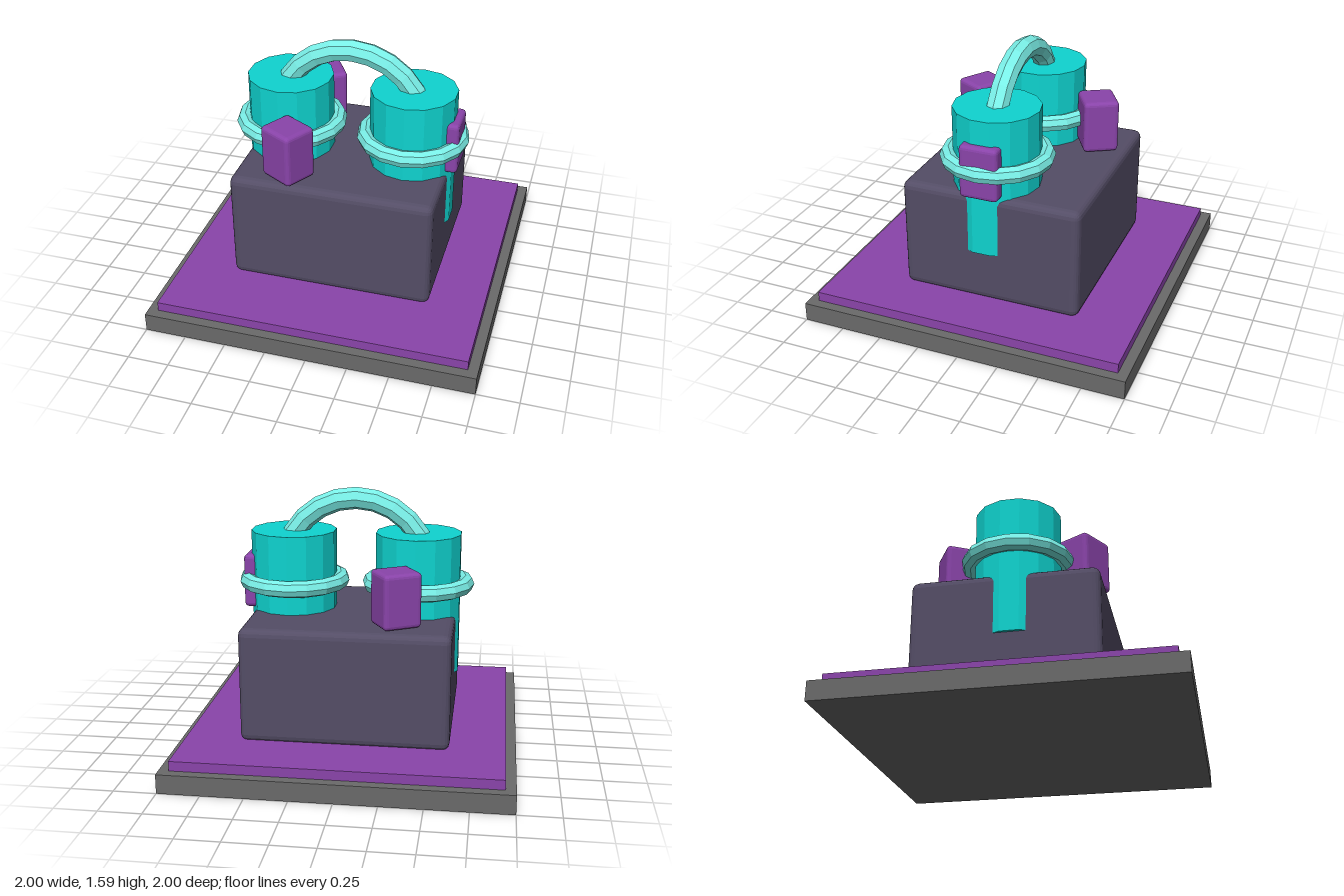
import * as THREE from 'three';
import { RoundedBoxGeometry } from 'three/addons/geometries/RoundedBoxGeometry.js';

const material = (color) => new THREE.MeshStandardMaterial({ color, flatShading: true });

export function createModel() {
  const model = new THREE.Group();
  const grey = material(0x6a6a6a);
  const purple = material(0x8a44aa);
  const slate = material(0x544d66);
  const teal = material(0x0fd4d0);
  const paleTeal = material(0x7af0e8);

  const add = (name, geometry, mat, x, y, z) => {
    const mesh = new THREE.Mesh(geometry, mat);
    mesh.name = name;
    mesh.position.set(x, y, z);
    model.add(mesh);
    return mesh;
  };

  // Stepped square base
  add('base', new THREE.BoxGeometry(2, 0.115, 2), grey, 0, 0.0575, 0);
  add('basePlate', new THREE.BoxGeometry(1.88, 0.06, 1.88), purple, 0, 0.143, 0);

  // Bevelled main block, set slightly towards the back
  add('block', new RoundedBoxGeometry(1.23, 0.69, 1.1, 2, 0.045), slate, 0, 0.505, -0.035);

  // Two posts sunk into the block, each with a ring
  const postGeometry = new THREE.CylinderGeometry(0.259, 0.259, 0.845, 14);
  const ringGeometry = new THREE.TorusGeometry(0.287, 0.051, 8, 16).rotateX(Math.PI / 2);
  for (const [side, x] of [['left', 0.38], ['right', -0.38]]) {
    add(side + 'Post', postGeometry, teal, x, 0.9025, 0);
    add(side + 'Ring', ringGeometry, paleTeal, x, 1.017, 0);
  }

  // Arched handle joining the post tops
  add('handle', new THREE.TorusGeometry(0.44, 0.067, 8, 12, Math.PI), paleTeal, 0, 1.083, 0);

  // Three rounded lugs turned a third of a circle apart
  const lugGeometry = new RoundedBoxGeometry(0.235, 0.325, 0.215, 2, 0.025);
  const lugs = [
    ['leftLug', 0.567, 0, Math.PI / 2],
    ['frontLug', -0.282, 0.38, -Math.PI / 6],
    ['backLug', -0.282, -0.388, Math.PI / 6],
  ];
  for (const [name, x, z, turn] of lugs) {
    add(name, lugGeometry, purple, x, 1.017, z).rotation.y = turn;
  }

  return model;
}
